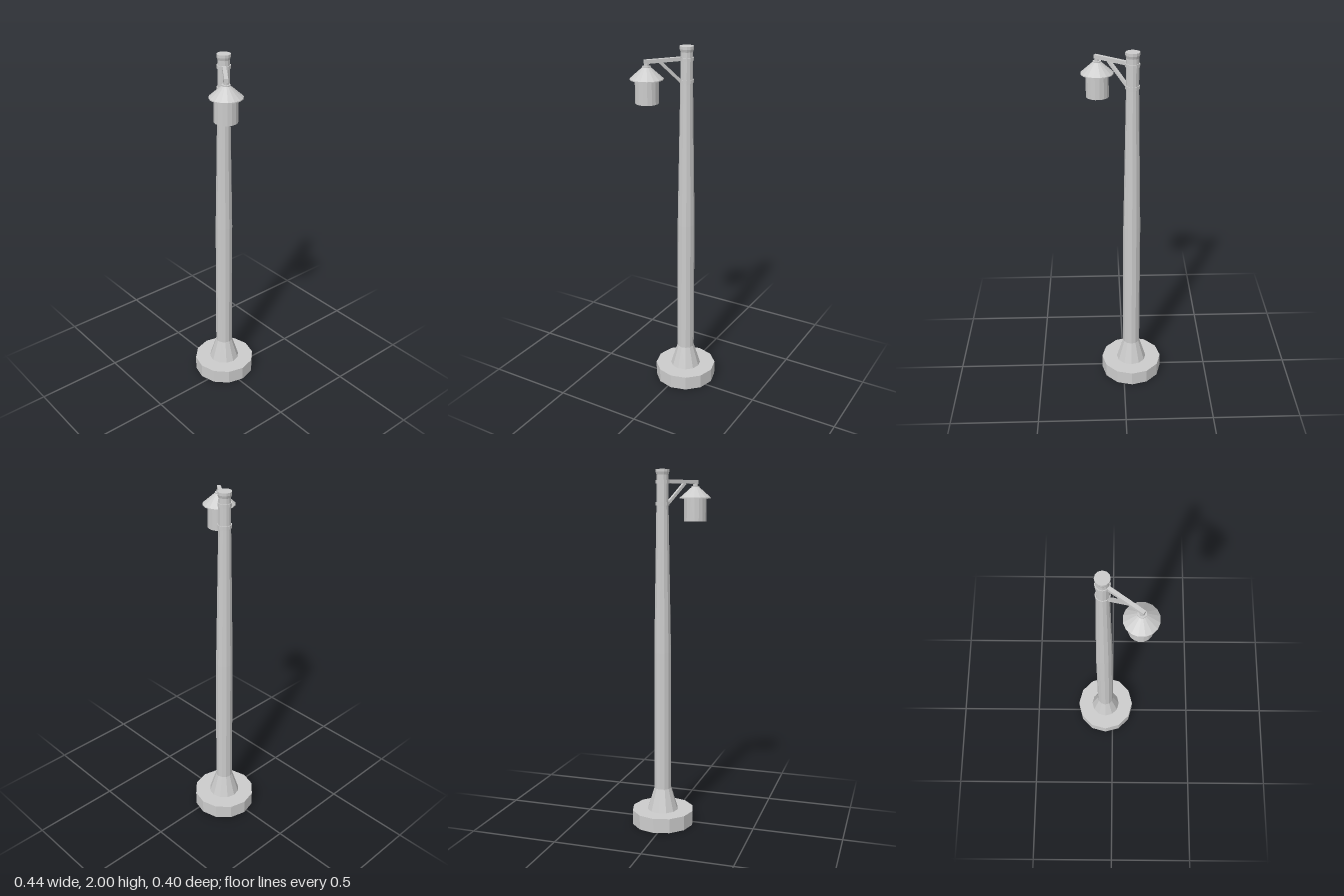
import * as THREE from 'three';

const grey = new THREE.MeshStandardMaterial({ color: 0xcccccc, flatShading: true, side: THREE.DoubleSide });

// Faceted surface of revolution from [radius, height] pairs, listed bottom to top
function turned(name, profile, sides, phase = 0) {
  const points = profile.map(([r, y]) => new THREE.Vector2(r, y));
  const mesh = new THREE.Mesh(new THREE.LatheGeometry(points, sides, phase), grey);
  mesh.name = name;
  return mesh;
}

// Square bar between two points in the local xy plane
function bar(name, [x0, y0], [x1, y1], height, depth) {
  const dx = x1 - x0, dy = y1 - y0;
  const mesh = new THREE.Mesh(new THREE.BoxGeometry(Math.hypot(dx, dy), height, depth), grey);
  mesh.position.set((x0 + x1) / 2, (y0 + y1) / 2, 0);
  mesh.rotation.z = Math.atan2(dy, dx);
  mesh.name = name;
  return mesh;
}

export function createModel() {
  const model = new THREE.Group();
  model.name = 'streetLamp';

  const post = new THREE.Group();
  post.name = 'post';
  post.position.set(-0.047, 0, -0.023);
  model.add(post);

  // Hollow plinth, open underneath, with a ring-shaped top
  post.add(turned('plinth', [[0.177, 0], [0.177, 0.083], [0.086, 0.083]], 12));

  // Flared foot, tapering shaft and flared cap
  post.add(turned('foot', [[0.088, 0.083], [0.049, 0.21]], 12));
  post.add(turned('shaft', [[0.049, 0.21], [0.048, 1.0], [0.034, 1.8], [0.033, 1.975]], 12));
  post.add(turned('cap', [[0.033, 1.97], [0.038, 1.985], [0.038, 2], [0, 2]], 12));

  // Clamp rings that hold the bracket
  for (const y of [1.817, 1.933]) {
    post.add(turned('clampRing', [[0.032, y - 0.009], [0.038, y - 0.009], [0.038, y + 0.009], [0.032, y + 0.009]], 12));
  }

  // Bracket, swung out toward the front left
  const bracket = new THREE.Group();
  bracket.name = 'bracket';
  bracket.rotation.y = -Math.atan2(0.134, 0.181);
  bracket.add(bar('arm', [0.03, 1.936], [0.238, 1.936], 0.02, 0.02));
  bracket.add(bar('brace', [0.032, 1.815], [0.15, 1.928], 0.016, 0.016));
  post.add(bracket);

  // Hanging lantern
  const lantern = new THREE.Group();
  lantern.name = 'lantern';
  lantern.position.set(0.134, 0, 0.111);
  const half = Math.PI / 16;
  lantern.add(turned('hanger', [[0.013, 1.905], [0.013, 1.928]], 8, half));
  lantern.add(turned('shade', [[0, 1.845], [0.088, 1.845], [0.088, 1.85], [0.022, 1.908], [0.022, 1.914], [0, 1.914]], 16, half));
  lantern.add(turned('lampBody', [[0, 1.72], [0.062, 1.72], [0.062, 1.846]], 16, half));
  model.add(lantern);

  return model;
}
